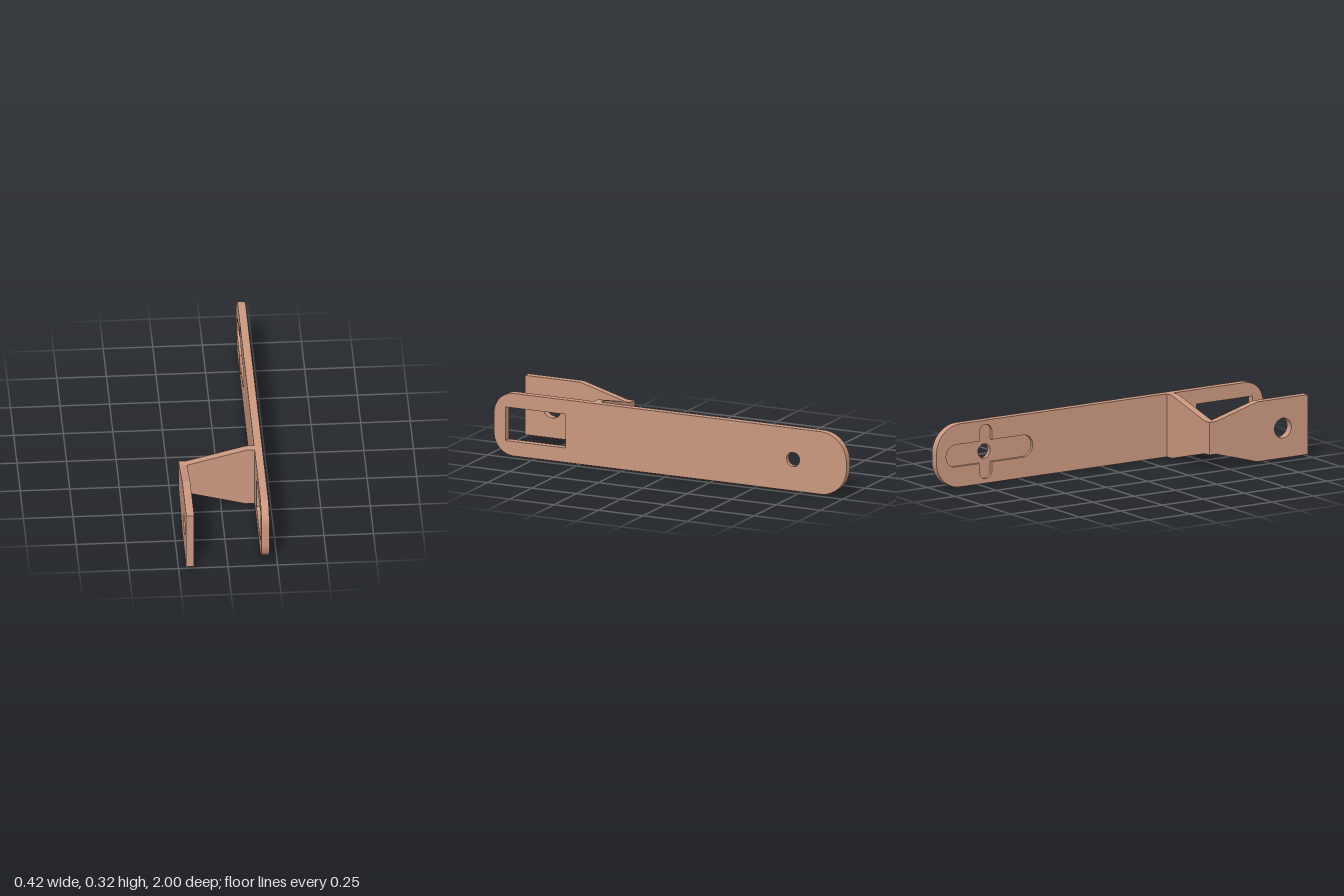
import * as THREE from 'three';

const MID = 0.163; // centre height shared by all parts

// Outline from [u, v] points
function outline(points, Type = THREE.Shape) {
  return new Type(points.map(([u, v]) => new THREE.Vector2(u, v)));
}

function circle(u, r) {
  const path = new THREE.Path();
  path.absarc(u, MID, r, 0, Math.PI * 2, true);
  return path;
}

// Rounded bar profile: separate corner radii for the two ends
function barShape(back, front, height, rBack, rFront) {
  const s = new THREE.Shape();
  const q = Math.PI / 2;
  s.absarc(back + rBack, rBack, rBack, 2 * q, 3 * q);
  s.absarc(front - rFront, rFront, rFront, 3 * q, 4 * q);
  s.absarc(front - rFront, height - rFront, rFront, 0, q);
  s.absarc(back + rBack, height - rBack, rBack, q, 2 * q);
  s.closePath();
  return s;
}

// Cross-shaped recess: a long slot crossed by a narrow upright slot
function crossPath() {
  const c = -0.70, w = 0.037, h = 0.14, b = -0.94, f = -0.415, t = 0.057, q = Math.PI / 2;
  const p = new THREE.Path();
  p.absarc(c, MID + h - w, w, 0, 2 * q);
  p.lineTo(c - w, MID + t);
  p.absarc(b + t, MID, t, q, 3 * q);
  p.lineTo(c - w, MID - t);
  p.absarc(c, MID - h + w, w, 2 * q, 4 * q);
  p.lineTo(c + w, MID - t);
  p.absarc(f - t, MID, t, -q, q);
  p.lineTo(c + w, MID + t);
  p.closePath();
  return p;
}

export function createModel() {
  const group = new THREE.Group();
  const copper = new THREE.MeshStandardMaterial({ color: 0xcb9880 });

  function plate(name, shape, depth) {
    const geo = new THREE.ExtrudeGeometry(shape, { depth, bevelEnabled: false, curveSegments: 24 });
    const mesh = new THREE.Mesh(geo, copper);
    mesh.name = name;
    group.add(mesh);
    return mesh;
  }
  // Plate in the z-y plane, thickening from x toward -x
  function sidePlate(name, shape, x, depth) {
    const mesh = plate(name, shape, depth);
    mesh.rotation.y = -Math.PI / 2;
    mesh.position.x = x;
  }

  // Long bar in two layers: the inner one carries the cross recess
  const windowHole = () => outline([[0.58, 0.075], [0.58, 0.25], [0.92, 0.25], [0.92, 0.075]], THREE.Path);
  const outer = barShape(-1, 0.983, 0.325, 0.145, 0.11);
  outer.holes.push(windowHole(), circle(-0.7, 0.037));
  sidePlate('barOuterLayer', outer, 0.21, 0.025);
  const inner = barShape(-1, 0.983, 0.325, 0.145, 0.11);
  inner.holes.push(windowHole(), crossPath());
  sidePlate('barInnerLayer', inner, 0.185, 0.015);

  // Tapered web joining the bar to the lug
  const web = outline([
    [-0.171, 0.079], [0.128, 0], [0.17, 0], [0.17, 0.325], [0.128, 0.325], [-0.171, 0.247],
  ]);
  plate('web', web, 0.04).position.z = 0.4;

  // Forward lug with a bolt hole
  const lug = outline([
    [0.4, 0.079], [0.44, 0.079], [0.69, 0.009], [1, 0.009],
    [1, 0.317], [0.69, 0.317], [0.44, 0.247], [0.4, 0.247],
  ]);
  lug.holes.push(circle(0.847, 0.051));
  sidePlate('lug', lug, -0.171, 0.04);

  return group;
}
